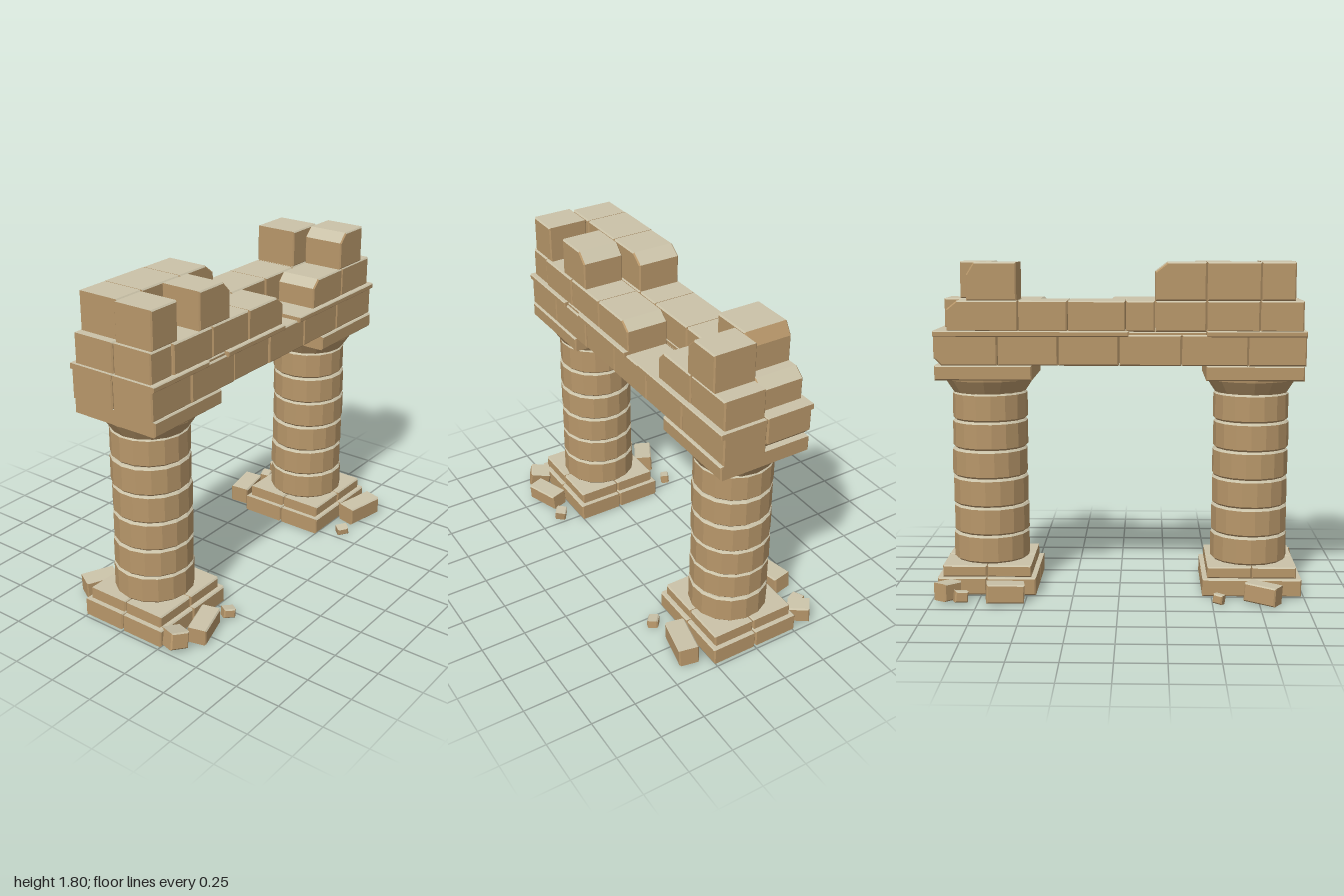
import * as THREE from 'three';

const stone = new THREE.MeshStandardMaterial({ color: 0xb8976a });
stone.name = 'sandstone';
const dust = new THREE.MeshStandardMaterial({ color: 0xcac2a8 });
dust.name = 'paleTopStone';

let seed = 7;
const rand = () => (seed = (seed * 16807) % 2147483647) / 2147483647;

// Faceted mesh whose upward faces get the pale material
function stoneMesh(geometry, name, parent, matrix) {
  const g = geometry.index ? geometry.toNonIndexed() : geometry;
  if (matrix) g.applyMatrix4(matrix);
  g.computeVertexNormals();
  const p = g.attributes.position.array, n = g.attributes.normal.array;
  const side = [], top = [];
  for (let i = 0; i < p.length; i += 9) {
    (n[i + 1] > 0.6 ? top : side).push(...p.slice(i, i + 9));
  }
  const out = new THREE.BufferGeometry();
  out.setAttribute('position', new THREE.Float32BufferAttribute(side.concat(top), 3));
  out.computeVertexNormals();
  out.addGroup(0, side.length / 3, 0);
  out.addGroup(side.length / 3, top.length / 3, 1);
  const mesh = new THREE.Mesh(out, [stone, dust]);
  mesh.name = name;
  parent.add(mesh);
  return mesh;
}

// Bevelled block; cut = broken corners as [width, height]: tr, tl, br
function blockGeometry(x0, x1, y0, y1, z0, z1, cut = {}, bevel = 0.007) {
  const s = new THREE.Shape();
  const { tr, tl, br } = cut;
  s.moveTo(x0, y0);
  if (br) { s.lineTo(x1 - br[0], y0); s.lineTo(x1, y0 + br[1]); } else s.lineTo(x1, y0);
  if (tr) { s.lineTo(x1, y1 - tr[1]); s.lineTo(x1 - tr[0], y1); } else s.lineTo(x1, y1);
  if (tl) { s.lineTo(x0 + tl[0], y1); s.lineTo(x0, y1 - tl[1]); } else s.lineTo(x0, y1);
  s.closePath();
  const g = new THREE.ExtrudeGeometry(s, {
    depth: z1 - z0 - 2 * bevel, bevelEnabled: true, bevelSegments: 1,
    bevelSize: bevel, bevelThickness: bevel, bevelOffset: -bevel,
  });
  return g.translate(0, 0, z0 + bevel);
}

// Plinth layer made of four blocks
function plinth(parent, y0, y1, hx, hz) {
  for (const sx of [-1, 1]) for (const sz of [-1, 1]) {
    const xs = [sx * 0.002, sx * hx].sort((a, b) => a - b);
    const zs = [sz * 0.002, sz * hz].sort((a, b) => a - b);
    stoneMesh(blockGeometry(...xs, y0, y1, ...zs), 'plinthBlock', parent);
  }
}

function lathe(points, sides) {
  return new THREE.LatheGeometry(points.map(([r, y]) => new THREE.Vector2(r, y)), sides);
}

function makeColumn(x, name) {
  const col = new THREE.Group();
  col.name = name;
  plinth(col, 0.005, 0.1, 0.267, 0.26);
  plinth(col, 0.1, 0.163, 0.24, 0.24);
  // Six stacked drums
  const h = 0.156;
  for (let i = 0; i < 6; i++) {
    const y = 0.163 + i * h, r = 0.211 - i * 0.0012, b = 0.01;
    const drum = lathe([[0, y], [r - b, y], [r, y + b], [r, y + h - b - 0.003],
      [r - b, y + h - 0.003], [0, y + h - 0.003]], 16);
    drum.rotateY(rand() * 0.4);
    drum.translate((rand() - 0.5) * 0.008, 0, (rand() - 0.5) * 0.008);
    stoneMesh(drum, 'columnDrum', col);
  }
  // Flaring capital and square slab
  stoneMesh(lathe([[0, 1.095], [0.198, 1.095], [0.208, 1.11], [0.244, 1.165], [0.248, 1.185], [0, 1.185]], 16),
    'capitalFlare', col);
  stoneMesh(blockGeometry(-0.258, 0.258, 1.178, 1.257, -0.26, 0.257), 'capitalSlab', col);
  col.position.x = x;
  return col;
}

// Row of blocks between successive x joints; cuts are keyed by block index
function course(parent, name, joints, y0, y1, z0, z1, cuts = {}) {
  for (let i = 0; i < joints.length - 1; i++) {
    const inset = rand() * 0.008;
    const a = z0 < 0 ? z0 + inset : z0, b = z1 > 0 ? z1 - inset : z1;
    stoneMesh(blockGeometry(joints[i] + 0.002, joints[i + 1] - 0.002, y0, y1, a, b, cuts[i]), name, parent);
  }
}

export function createModel() {
  const model = new THREE.Group();
  model.name = 'ruinedColonnade';
  model.add(makeColumn(-0.718, 'rightColumn'), makeColumn(0.718, 'leftColumn'));

  const F = [0.002, 0.253], B = [-0.262, -0.002];
  const beam = new THREE.Group();
  beam.name = 'entablature';
  model.add(beam);

  // Lower beam course
  course(beam, 'frontBeamBlock', [-0.985, -0.69, -0.345, -0.04, 0.285, 0.615, 0.98], 1.257, 1.42, ...F);
  course(beam, 'backBeamBlock', [-0.985, -0.68, -0.33, 0, 0.32, 0.64, 0.98], 1.257, 1.42, ...B,
    { 5: { br: [0.04, 0.04] } });

  // Thin ledge, broken in places
  for (const [a, b] of [[-0.985, -0.56], [-0.41, 0.09], [0.22, 0.98]])
    stoneMesh(blockGeometry(a, b, 1.41, 1.44, 0.002, 0.262, {}, 0.005), 'frontLedge', beam);
  for (const [a, b] of [[-0.985, -0.46], [-0.05, 0.98]])
    stoneMesh(blockGeometry(a, b, 1.41, 1.44, -0.272, -0.002, {}, 0.005), 'backLedge', beam);
  stoneMesh(blockGeometry(-0.56, -0.41, 1.41, 1.436, 0.002, 0.24, {}, 0.005), 'wornLedge', beam);
  stoneMesh(blockGeometry(-0.46, -0.05, 1.41, 1.436, -0.25, -0.002, {}, 0.005), 'wornLedge', beam);

  // Middle course with a gap in the front
  course(beam, 'frontWallBlock', [-0.97, -0.81, -0.51, -0.21, 0.093], 1.436, 1.597, 0.002, 0.242,
    { 3: { tr: [0.055, 0.045] } });
  course(beam, 'frontWallBlock', [0.385, 0.675, 0.96], 1.436, 1.597, 0.002, 0.242,
    { 0: { tl: [0.045, 0.045] } });
  course(beam, 'backWallBlock', [-0.97, -0.74, -0.46, -0.19, -0.035, 0.27, 0.53, 0.91], 1.436, 1.597, -0.252, -0.002,
    { 6: { tr: [0.055, 0.045] } });

  // Scattered top course
  const y = [1.597, 1.797];
  course(beam, 'frontTopBlock', [-0.95, -0.76], ...y, 0.002, 0.235);
  course(beam, 'frontTopBlock', [-0.605, -0.36], ...y, 0.002, 0.24, { 0: { tr: [0.055, 0.055] } });
  course(beam, 'frontTopBlock', [0.645, 0.872], ...y, 0.002, 0.24, { 0: { tl: [0.05, 0.05] } });
  course(beam, 'backTopBlock', [-0.925, -0.745, -0.46, -0.188], ...y, -0.25, -0.002, { 2: { tr: [0.065, 0.05] } });
  course(beam, 'backTopBlock', [0.535, 0.802], ...y, -0.252, -0.002, { 0: { tr: [0.04, 0.065] } });

  // Fallen rubble: x, z, width, height, depth, turn, tilt
  const rubble = [
    [-0.77, -0.355, 0.18, 0.1, 0.105, -0.5, 0.05], [-0.535, -0.375, 0.055, 0.05, 0.05, -0.5, 0.1],
    [0.605, -0.37, 0.2, 0.1, 0.11, 0.17, 0.05], [0.84, -0.385, 0.07, 0.06, 0.06, 0.35, 0.12],
    [0.918, -0.335, 0.12, 0.095, 0.095, 0.9, 0.06], [-0.932, 0.31, 0.1, 0.09, 0.12, -0.4, -0.18],
    [-0.745, 0.35, 0.21, 0.09, 0.105, 0.3, 0.04], [-0.55, 0.36, 0.065, 0.05, 0.065, -0.6, -0.12],
    [0.56, 0.375, 0.065, 0.045, 0.06, -0.7, 0.1], [0.802, 0.345, 0.235, 0.105, 0.11, -0.23, 0.03],
  ];
  for (const [x, z, w, h, d, turn, tilt] of rubble) {
    const m = new THREE.Matrix4().makeRotationFromEuler(new THREE.Euler(tilt, turn, tilt, 'YXZ'));
    m.setPosition(x, h / 2 + 0.5 * Math.abs(tilt) * (w + d) * 0.8, z);
    stoneMesh(blockGeometry(-w / 2, w / 2, -h / 2, h / 2, -d / 2, d / 2), 'rubble', model, m);
  }
  return model;
}
